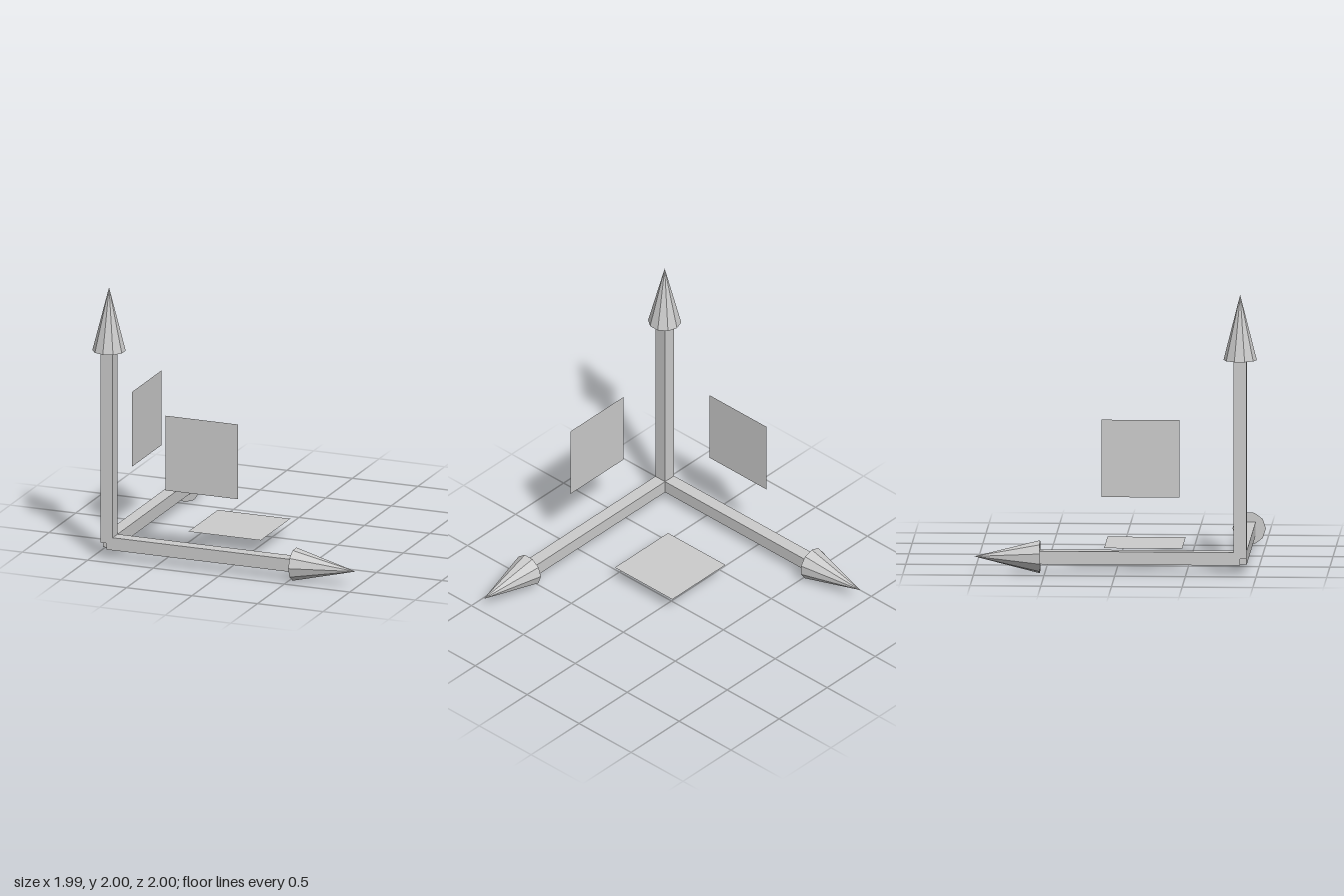
import * as THREE from 'three';

const SHAFT = 1.416, HEAD = 0.466, WIDTH = 0.093, RADIUS = 0.118;
const PLATE = 0.553, OFFSET = 0.706;

export function createModel() {
  const model = new THREE.Group();
  model.name = 'axisGizmo';
  const solid = new THREE.MeshStandardMaterial({ color: 0xcccccc, flatShading: true });
  const thin = new THREE.MeshStandardMaterial({ color: 0xcccccc, flatShading: true, side: THREE.DoubleSide });

  // Everything hangs off the common origin of the three axes
  const origin = new THREE.Group();
  origin.name = 'axes';
  origin.position.set(-0.885, RADIUS, 0.883);
  model.add(origin);

  // Square shaft with a ten-sided arrowhead, built along y and then turned
  const shaftGeometry = new THREE.BoxGeometry(WIDTH, SHAFT, WIDTH).translate(0, SHAFT / 2, 0);
  const headGeometry = new THREE.ConeGeometry(RADIUS, HEAD, 10).translate(0, SHAFT + HEAD / 2, 0);
  const addArrow = (name, rx, rz) => {
    const arrow = new THREE.Group();
    arrow.name = name;
    arrow.rotation.set(rx, 0, rz);
    const shaft = new THREE.Mesh(shaftGeometry, solid);
    shaft.name = 'shaft';
    const head = new THREE.Mesh(headGeometry, solid);
    head.name = 'arrowhead';
    arrow.add(shaft, head);
    origin.add(arrow);
  };
  addArrow('upArrow', 0, 0);
  addArrow('sideArrow', 0, -Math.PI / 2);
  addArrow('backArrow', -Math.PI / 2, 0);

  // Thin square plates floating between each pair of axes
  const plateGeometry = new THREE.PlaneGeometry(PLATE, PLATE);
  const addPlate = (name, position, rx, ry) => {
    const plate = new THREE.Mesh(plateGeometry, thin);
    plate.name = name;
    plate.position.set(...position);
    plate.rotation.set(rx, ry, 0);
    origin.add(plate);
  };
  addPlate('frontPlate', [OFFSET, OFFSET, 0], 0, 0);
  addPlate('sidePlate', [0, OFFSET, -OFFSET], 0, Math.PI / 2);
  addPlate('floorPlate', [OFFSET, 0, -OFFSET], -Math.PI / 2, 0);

  return model;
}
